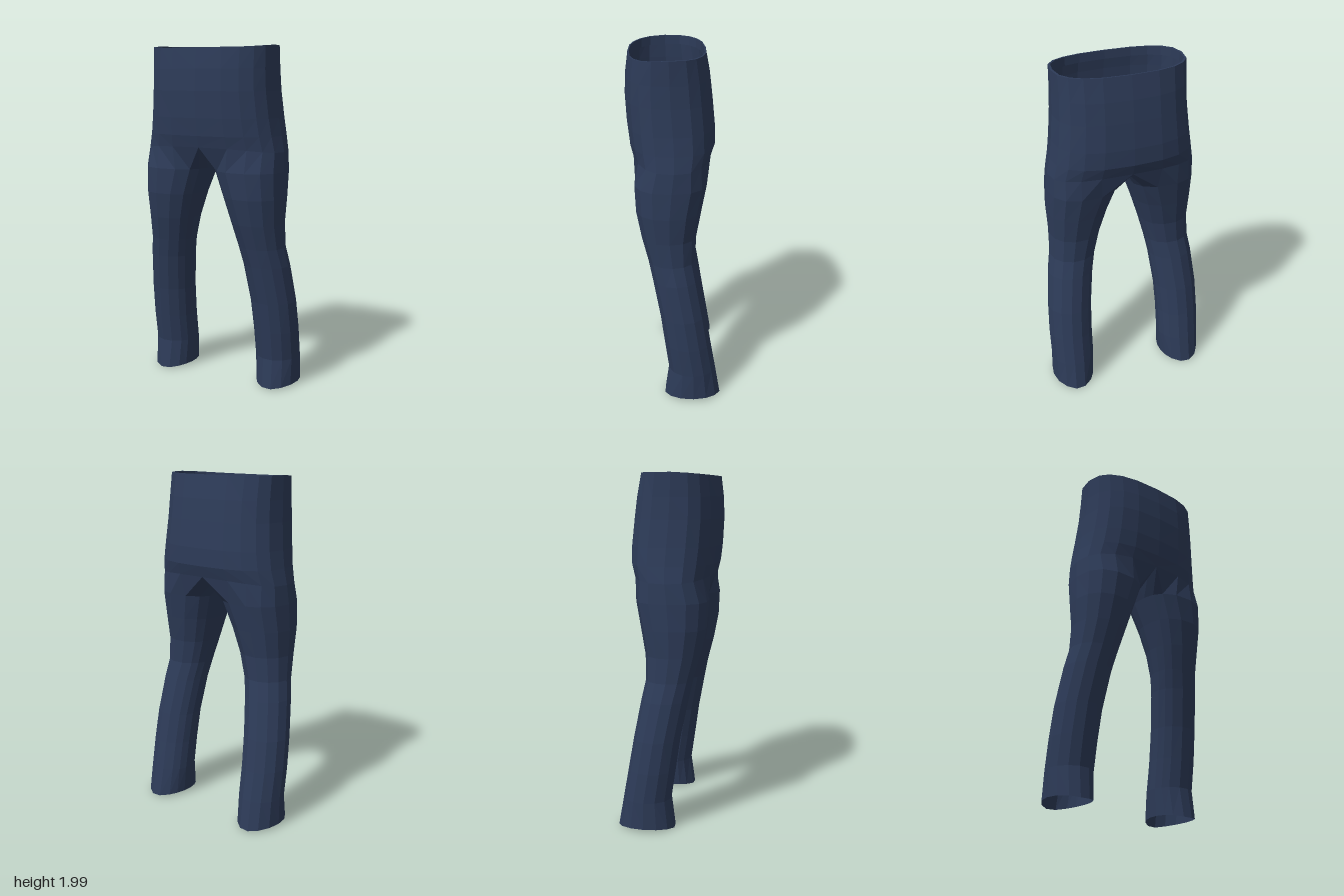
import * as THREE from 'three';

const N = 10; // columns from front centre round the outside to back centre
const K = 5; // columns across the inner leg

// torso sections: y, half width, front z, back z
const TORSO = [
  [2.0, 0.375, 0.25, -0.18], [1.87, 0.375, 0.265, -0.205], [1.75, 0.38, 0.27, -0.22],
  [1.6, 0.395, 0.262, -0.235], [1.5, 0.41, 0.25, -0.235], [1.41, 0.428, 0.232, -0.212],
];
// leg sections: y, inner x, outer x, front z, back z, roundness power
const LEG = [
  [1.3, 0.032, 0.435, 0.225, -0.18, 0.82], [1.15, 0.085, 0.437, 0.217, -0.15, 0.88],
  [1.0, 0.13, 0.43, 0.187, -0.122, 0.92], [0.86, 0.165, 0.435, 0.15, -0.117, 0.95],
  [0.75, 0.185, 0.456, 0.127, -0.14, 1], [0.53, 0.212, 0.48, 0.085, -0.18, 1],
  [0.35, 0.222, 0.487, 0.06, -0.21, 1], [0.18, 0.225, 0.486, 0.036, -0.24, 1],
  [0.0, 0.235, 0.485, 0.06, -0.27, 1],
];

const bend = (v, p) => Math.sign(v) * Math.pow(Math.abs(v), p);

// open half ring on the +x side
function torsoRing([y, w, zf, zb], row) {
  const ring = [];
  for (let i = 0; i <= N; i++) {
    const a = (Math.PI * i) / N;
    const c = Math.cos(a);
    let dy = 0;
    if (row === 0) dy = -0.016 * Math.max(0, c); // waist dips at the front
    if (row === TORSO.length - 1) dy = 0.025 * c * c;
    const x = i === 0 || i === N ? 0 : w * bend(Math.sin(a), 0.75);
    ring.push([x, y + dy, (zf + zb) / 2 + ((zf - zb) / 2) * bend(c, 0.75)]);
  }
  return ring;
}

// closed leg ring whose columns continue the torso columns
function legRing([y, xi, xo, zf, zb, p]) {
  const ring = [];
  for (let i = 0; i < N + K; i++) {
    const deg = i <= N ? -42 + (264 * i) / N : 222 + (96 * (i - N)) / K;
    const a = THREE.MathUtils.degToRad(deg);
    const hem = y === 0 ? 0.004 + 0.02 * Math.abs(Math.sin(a)) : 0;
    ring.push([
      (xi + xo) / 2 + ((xo - xi) / 2) * bend(Math.sin(a), p),
      y + hem,
      (zf + zb) / 2 + ((zf - zb) / 2) * bend(Math.cos(a), p),
    ]);
  }
  return ring;
}

// skin between successive rings, listed from top to bottom
function loft(rings, closed, side) {
  const n = rings[0].length;
  const index = [];
  for (let r = 0; r < rings.length - 1; r++) {
    for (let i = 0; i < (closed ? n : n - 1); i++) {
      const a = r * n + i, b = r * n + ((i + 1) % n), c = a + n, d = b + n;
      if (side > 0) index.push(a, c, b, b, c, d);
      else index.push(a, b, c, b, d, c);
    }
  }
  const pos = rings.flat().flatMap(([x, y, z]) => [x * side, y, z]);
  const geo = new THREE.BufferGeometry();
  geo.setAttribute('position', new THREE.Float32BufferAttribute(pos, 3));
  geo.setIndex(index);
  geo.computeVertexNormals();
  return geo;
}

export function createModel() {
  const group = new THREE.Group();
  group.name = 'trousers';
  const navy = new THREE.MeshStandardMaterial({ color: 0x2d3b58, flatShading: true, side: THREE.DoubleSide });
  navy.name = 'navy cloth';

  const torso = TORSO.map(torsoRing);
  const hip = torso[torso.length - 1];

  // crotch seam joins the back centre to the front centre
  const seam = [];
  for (let k = 1; k < K; k++) {
    const t = k / K;
    seam.push([0, hip[0][1] - 0.058 * Math.pow(Math.sin(Math.PI * t), 0.6),
      THREE.MathUtils.lerp(hip[N][2], hip[0][2], t)]);
  }
  const leg = [[...hip, ...seam], ...LEG.map(legRing)];

  // narrow edge turned in at the waist
  const rim = [0.965, 0.96].map((s, j) =>
    torso[0].map(([x, y, z]) => [x * s, y - 0.05 * j, 0.035 + (z - 0.035) * s]));

  for (const side of [1, -1]) {
    const word = side > 0 ? 'left' : 'right';
    const add = (name, geo) => {
      const mesh = new THREE.Mesh(geo, navy);
      mesh.name = word + name;
      group.add(mesh);
    };
    add('Hip', loft(torso, false, side));
    add('Leg', loft(leg, true, side));
    add('WaistRim', loft([rim[1], rim[0], torso[0]], false, side));
  }
  return group;
}
